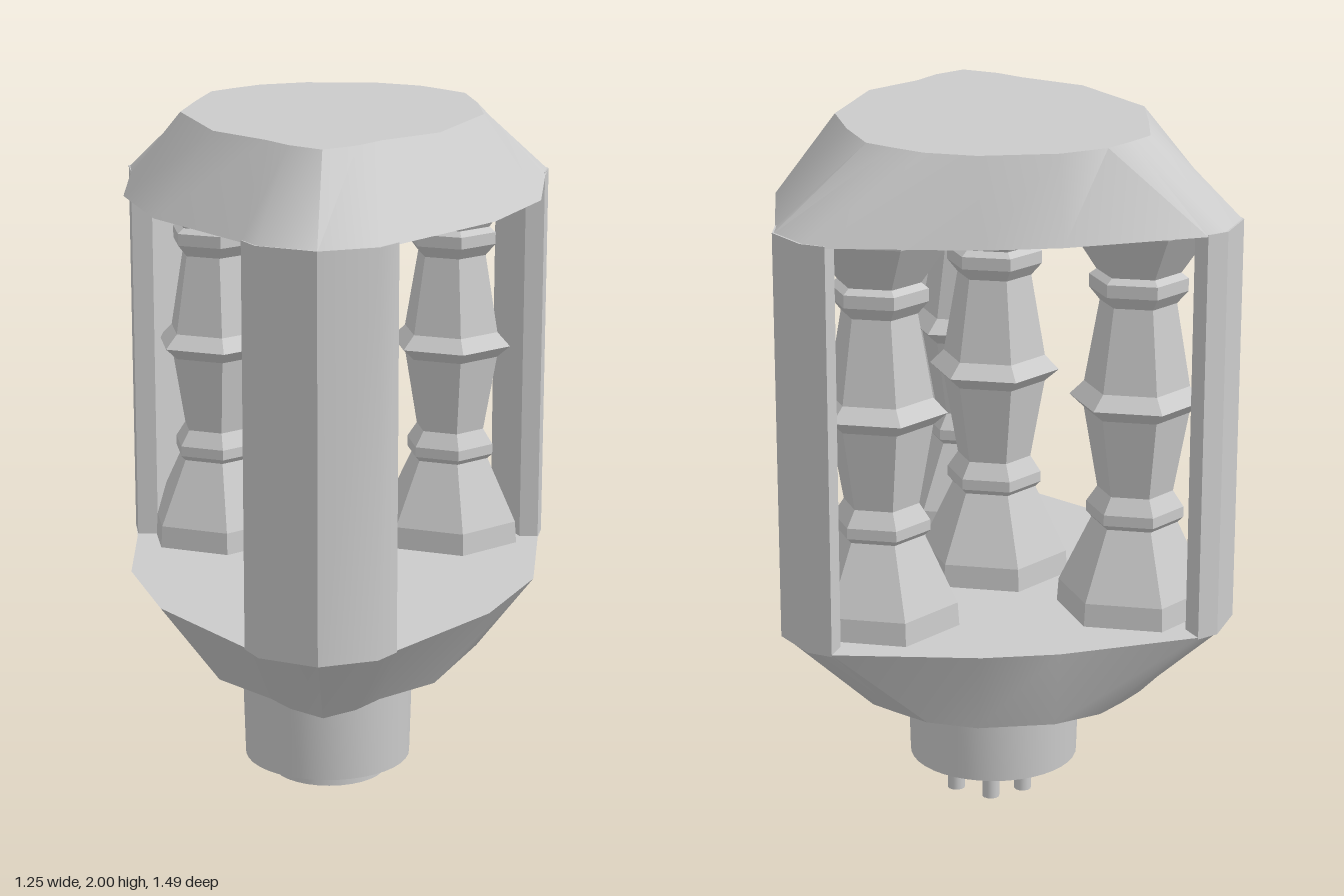
import * as THREE from 'three';
import { toCreasedNormals } from 'three/addons/utils/BufferGeometryUtils.js';

const material = new THREE.MeshStandardMaterial({ color: 0xcccccc });
const facetMaterial = new THREE.MeshStandardMaterial({ color: 0xcccccc, flatShading: true });

// Shield-shaped cap outline: wide rim [x, z], then the smaller flat end [x, z]
const OUTLINE = [
  [-0.10, -0.745, -0.10, -0.68], [0.11, -0.74, 0.11, -0.675],
  [0.50, -0.66, 0.24, -0.615], [0.56, -0.62, 0.31, -0.54],
  [0.62, -0.49, 0.37, -0.47], [0.605, -0.40, 0.40, -0.28],
  [0.57, 0, 0.41, -0.07], [0.43, 0.31, 0.28, 0.25],
  [0.17, 0.62, 0.125, 0.38], [0.12, 0.685, 0.06, 0.465],
  [-0.04, 0.74, -0.03, 0.53], [-0.20, 0.67, -0.12, 0.46],
  [-0.24, 0.60, -0.18, 0.38], [-0.49, 0.28, -0.33, 0.23],
  [-0.60, -0.05, -0.44, -0.10], [-0.61, -0.40, -0.41, -0.30],
  [-0.625, -0.52, -0.375, -0.49], [-0.55, -0.655, -0.31, -0.56],
  [-0.49, -0.685, -0.235, -0.63],
];
const RIM = OUTLINE.map(p => [p[0], p[1]]);
const END = OUTLINE.map(p => [p[2], p[3]]);

// Closed solid between two matching [x, z] outlines, ordered back, +x, front, -x
function loft(low, yLow, high, yHigh) {
  const pos = [];
  const at = (ring, i, y) => [ring[i % ring.length][0], y, ring[i % ring.length][1]];
  for (let i = 0; i < low.length; i++) {
    const a = at(low, i, yLow), b = at(low, i + 1, yLow);
    const c = at(high, i, yHigh), d = at(high, i + 1, yHigh);
    pos.push(...a, ...c, ...b, ...b, ...c, ...d);
  }
  for (const [ring, y, side] of [[low, yLow, -1], [high, yHigh, 1]]) {
    const contour = ring.map(p => new THREE.Vector2(p[0], p[1]));
    for (const [i, j, k] of THREE.ShapeUtils.triangulateShape(contour, [])) {
      const p = ring[i], q = ring[j], r = ring[k];
      const ny = (q[1] - p[1]) * (r[0] - p[0]) - (q[0] - p[0]) * (r[1] - p[1]);
      const order = ny * side > 0 ? [i, j, k] : [i, k, j];
      order.forEach(n => pos.push(...at(ring, n, y)));
    }
  }
  const geo = new THREE.BufferGeometry();
  geo.setAttribute('position', new THREE.Float32BufferAttribute(pos, 3));
  geo.computeVertexNormals();
  return toCreasedNormals(geo, 0.6);
}

function lathe(points, segments, start = 0) {
  return new THREE.LatheGeometry(points.map(p => new THREE.Vector2(p[0], p[1])), segments, start);
}

export function createModel() {
  const group = new THREE.Group();
  const add = (name, geo, x = 0, y = 0, z = 0, mat = material) => {
    const mesh = new THREE.Mesh(geo, mat);
    mesh.name = name;
    mesh.position.set(x, y, z);
    group.add(mesh);
  };

  // Bevelled top and bottom caps
  add('topCap', loft(RIM, 1.765, END, 1.995), 0, 0, 0);
  add('bottomCap', loft(END, 0.425, RIM, 0.655), 0, 0, 0);

  // Three upright posts flush with the rim
  const posts = {
    frontPost: [[0.17, 0.62], [0.12, 0.685], [-0.04, 0.74], [-0.20, 0.67], [-0.24, 0.60]],
    leftBackPost: [[0.47, -0.60], [0.50, -0.66], [0.56, -0.62], [0.62, -0.49], [0.605, -0.41], [0.55, -0.41]],
    rightBackPost: [[-0.55, -0.42], [-0.61, -0.42], [-0.625, -0.52], [-0.55, -0.655], [-0.49, -0.685], [-0.47, -0.62]],
  };
  for (const [name, ring] of Object.entries(posts)) add(name, loft(ring, 0.65, ring, 1.77));

  // Six-sided turned columns inside the frame
  const column = lathe([
    [0.215, 0.65], [0.21, 0.72], [0.12, 0.91], [0.135, 0.925], [0.135, 0.955], [0.105, 1.0],
    [0.145, 1.225], [0.185, 1.26], [0.145, 1.30], [0.105, 1.53], [0.135, 1.565],
    [0.135, 1.60], [0.115, 1.615], [0.2, 1.74], [0.205, 1.77],
  ], 6, THREE.MathUtils.degToRad(10));
  const columns = {
    frontColumn: [-0.03, 0.405], middleColumn: [-0.03, -0.06],
    leftColumn: [0.335, -0.42], rightColumn: [-0.365, -0.42],
  };
  for (const [name, [x, z]] of Object.entries(columns)) add(name, column, x, 0, z, facetMaterial);

  // Hollow, slightly tapered socket under the bottom cap
  const socket = lathe([[0.21, 0.43], [0.21, 0.095], [0.243, 0.095], [0.252, 0.43]], 40);
  add('socket', toCreasedNormals(socket, 0.6), -0.028, 0, -0.07);

  // Half-round key inside the socket, its flat side turned a little
  const key = [];
  for (let i = 0; i <= 16; i++) {
    const a = 0.18 + Math.PI * i / 16;
    key.push([-0.023 + 0.168 * Math.cos(a), -0.085 + 0.168 * Math.sin(a)]);
  }
  add('key', loft(key, 0.04, key, 0.43));

  // Contact pins behind the key
  const pin = new THREE.CylinderGeometry(0.025, 0.025, 0.43, 12);
  for (const [x, z] of [[0.09, -0.125], [0, -0.2], [-0.1, -0.16]]) add('pin', pin, x, 0.215, z);

  return group;
}
